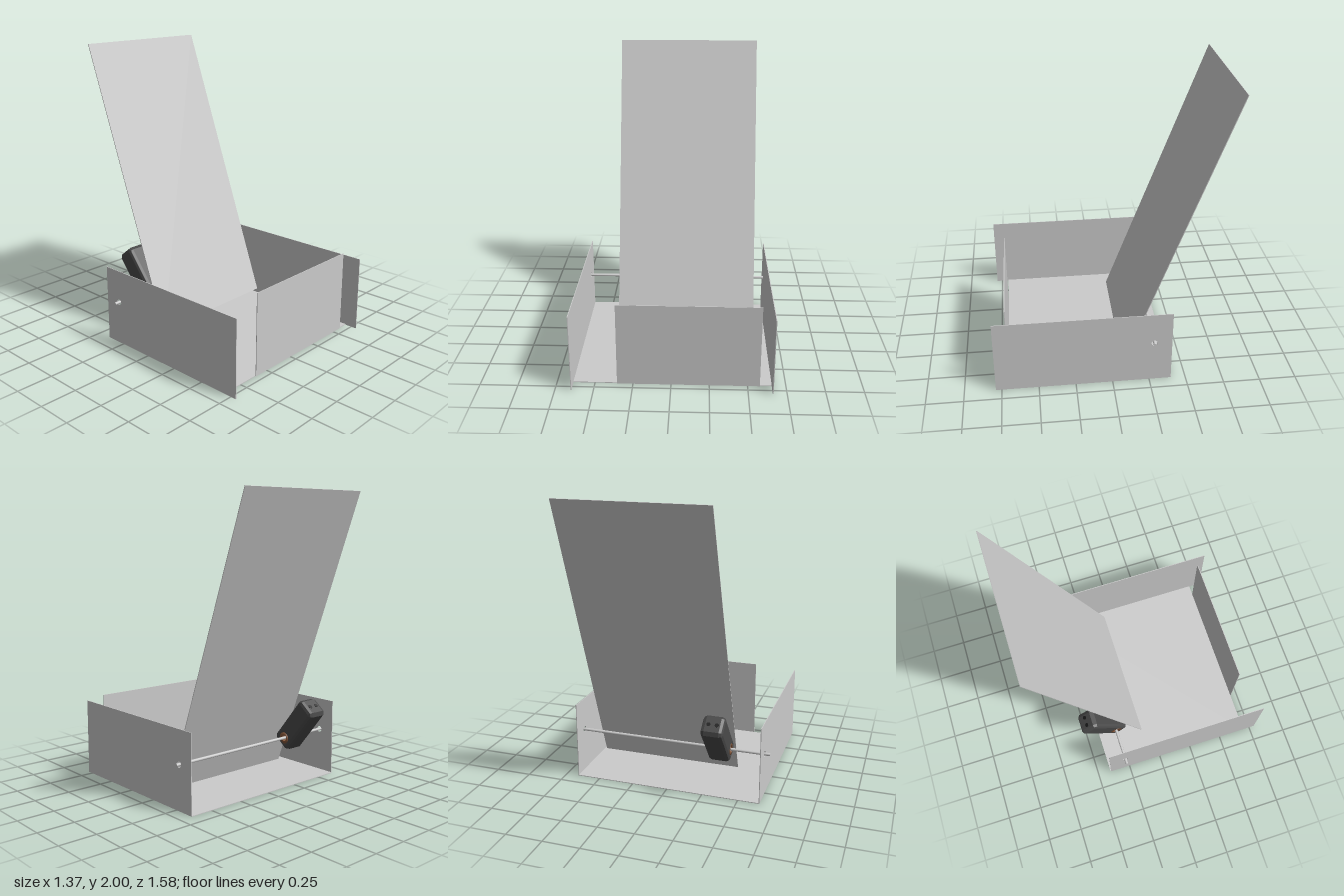
import * as THREE from 'three';

const grey = new THREE.MeshStandardMaterial({ color: 0xcccccc, side: THREE.DoubleSide });
const dark = new THREE.MeshStandardMaterial({ color: 0x4a4a4a, flatShading: true });
const black = new THREE.MeshStandardMaterial({ color: 0x1c1c1c });
const copper = new THREE.MeshStandardMaterial({ color: 0x8a5a3c });

const T = 0.005; // sheet thickness
const ROD = { y: 0.305, z: -0.28 };

function add(parent, name, geometry, material, x = 0, y = 0, z = 0) {
  const mesh = new THREE.Mesh(geometry, material);
  mesh.name = name;
  mesh.position.set(x, y, z);
  parent.add(mesh);
  return mesh;
}

// Side sheet with a round hole for the rod, shape drawn in (-z, y)
function sidePanelGeometry() {
  const s = new THREE.Shape();
  s.moveTo(-0.79, 0).lineTo(0.4, 0).lineTo(0.4, 0.533).lineTo(-0.79, 0.533).closePath();
  s.holes.push(new THREE.Path().absarc(-ROD.z, ROD.y, 0.021, 0, Math.PI * 2, true));
  const g = new THREE.ExtrudeGeometry(s, { depth: T, bevelEnabled: false, curveSegments: 16 });
  return g.translate(0, 0, -T / 2).rotateY(Math.PI / 2);
}

// Chamfered motor body, pierced across its lower end, long axis along y
function motorGeometry() {
  const w = 0.075, c = 0.022, lo = -0.06, hi = 0.325, b = 0.025;
  const s = new THREE.Shape();
  s.moveTo(-w + c, lo).lineTo(w - c, lo).lineTo(w, lo + c).lineTo(w, hi - c)
    .lineTo(w - c, hi).lineTo(-w + c, hi).lineTo(-w, hi - c).lineTo(-w, lo + c).closePath();
  s.holes.push(new THREE.Path().absarc(0, 0, 0.022, 0, Math.PI * 2, true));
  const g = new THREE.ExtrudeGeometry(s, {
    depth: 0.15 - 2 * b, bevelEnabled: true, bevelThickness: b, bevelSize: b,
    bevelOffset: -b, bevelSegments: 2, curveSegments: 12,
  });
  return g.translate(0, 0, -0.075 + b).rotateY(Math.PI / 2);
}

function createMotor() {
  const motor = new THREE.Group();
  motor.name = 'motor';
  add(motor, 'motorBody', motorGeometry(), dark);
  // Bearing rings where the rod passes through
  const ring = [[0.022, -0.02], [0.04, -0.02], [0.04, 0.02], [0.022, 0.02], [0.022, -0.02]]
    .map(([r, h]) => new THREE.Vector2(r, h));
  for (const side of [-1, 1]) {
    const bearing = add(motor, 'bearing', new THREE.LatheGeometry(ring, 20), copper, side * 0.053);
    bearing.rotation.z = Math.PI / 2;
    // Sockets on the end cap
    add(motor, 'endSocket', new THREE.CylinderGeometry(0.014, 0.014, 0.004, 12), black, side * 0.028, 0.325, 0);
  }
  motor.position.set(-0.345, ROD.y, ROD.z);
  motor.rotation.x = -0.68;
  return motor;
}

export function createModel() {
  const model = new THREE.Group();
  model.name = 'trayWithBackrest';

  // Tray sheets
  add(model, 'basePlate', new THREE.BoxGeometry(1.305, T, 1.105), grey, 0.0075, T / 2, 0.1475);
  add(model, 'frontPanel', new THREE.BoxGeometry(0.935, 0.577, T), grey, 0.1125, 0.2885, 0.702);
  for (const x of [-0.645, 0.66]) add(model, 'sidePanel', sidePanelGeometry(), grey, x);

  // Leaning back board
  const dy = 1.92, dz = -0.71;
  const board = add(model, 'backBoard', new THREE.BoxGeometry(1, Math.hypot(dy, dz), T), grey, 0.08, 1.039, -0.434);
  board.rotation.x = Math.atan2(dz, dy);

  // Cross rod and motor
  const rod = add(model, 'crossRod', new THREE.CylinderGeometry(0.01, 0.01, 1.37, 16), grey, 0, ROD.y, ROD.z);
  rod.rotation.z = Math.PI / 2;
  model.add(createMotor());

  return model;
}
